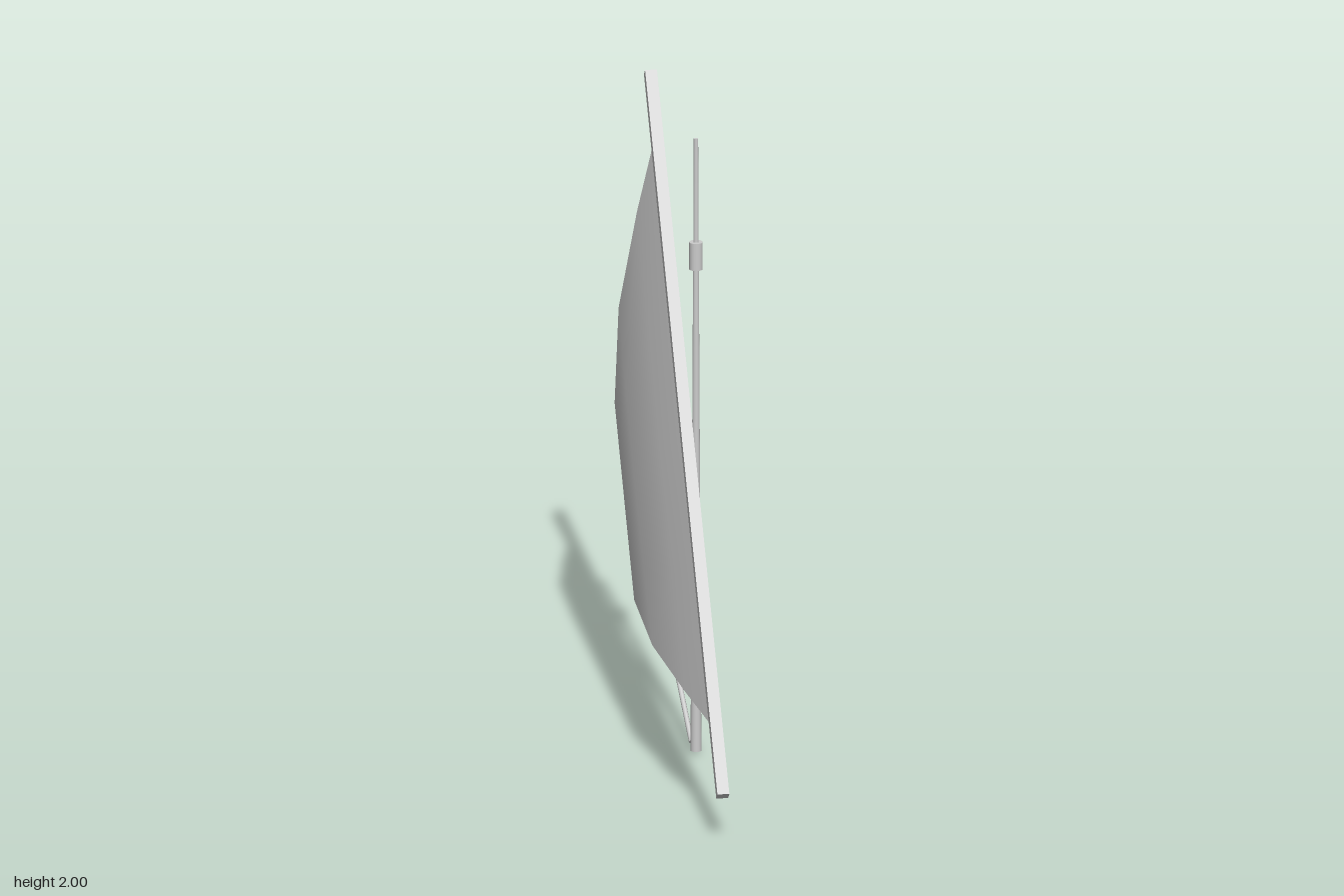
import * as THREE from 'three';

const V = (x, y, z) => new THREE.Vector3(x, y, z);

export function createModel() {
  const model = new THREE.Group();
  const grey = new THREE.MeshStandardMaterial({ color: 0xcccccc });
  const cloth = new THREE.MeshStandardMaterial({ color: 0xcccccc, side: THREE.DoubleSide });

  function add(name, geometry, material = grey) {
    const mesh = new THREE.Mesh(geometry, material);
    mesh.name = name;
    model.add(mesh);
    return mesh;
  }

  // Places a y-aligned mesh between two points
  function span(mesh, a, b) {
    mesh.position.copy(a).lerp(b, 0.5);
    mesh.quaternion.setFromUnitVectors(V(0, 1, 0), b.clone().sub(a).normalize());
  }

  // Upright pole, tapering from rBottom to rTop
  function pole(name, y0, y1, rBottom, rTop) {
    const mesh = add(name, new THREE.CylinderGeometry(rTop, rBottom, y1 - y0, 16));
    mesh.position.set(0.07, (y0 + y1) / 2, -0.082);
  }
  pole('lowerMast', 0.012, 1.6, 0.017, 0.009);
  pole('mastCollar', 1.576, 1.664, 0.021, 0.021);
  pole('topMast', 1.64, 2, 0.008, 0.007);

  // Slanting square yard
  const yardLow = V(0.029, 0.153, 0.777), yardHigh = V(0.029, 1.986, -0.776);
  const yard = add('yard', new THREE.BoxGeometry(0.037, yardLow.distanceTo(yardHigh), 0.034));
  span(yard, yardLow, yardHigh);

  // Sheet rope from the clew down to the deck
  const clew = V(0.022, 0.49, -0.757), ropeEnd = V(0.07, 0.007, -0.181);
  const rope = add('sheetRope', new THREE.CylinderGeometry(0.008, 0.008, clew.distanceTo(ropeEnd), 8));
  span(rope, ropeEnd, clew);

  // Triangular sail: rows parallel to the yard, running from foot to rear edge and shrinking to the clew
  const tack = V(0.022, 0.322, 0.615), peak = V(0.022, 1.81, -0.647);
  const rows = [ // distance towards the clew, x depth, foot lift, rear edge hollow
    [0, 0.022, 0, 0],
    [0.18, -0.029, 0.006, 0.002],
    [0.42, -0.083, 0.008, 0.007],
    [0.66, -0.092, 0.006, 0.01],
    [1, 0.022, 0, 0],
  ];
  const cols = 5, points = [], index = [];
  rows.forEach(([t, depth, lift, hollow], j) => {
    const foot = tack.clone().lerp(clew, t), rear = peak.clone().lerp(clew, t);
    foot.y += lift;
    rear.z += hollow;
    for (let i = 0; i < cols; i++) {
      const s = i / (cols - 1), p = foot.clone().lerp(rear, s);
      const dome = 0.02 * s * (1 - s) * Math.sin(Math.PI * t);
      points.push(depth - dome * (j === 3 ? 0 : 1), p.y, p.z);
      if (j === rows.length - 1 || i === cols - 1) continue;
      const a = j * cols + i, b = a + 1, c = a + cols, d = c + 1;
      index.push(a, c, b);
      if (j < rows.length - 2) index.push(b, c, d);
    }
  });
  const sail = new THREE.BufferGeometry();
  sail.setAttribute('position', new THREE.Float32BufferAttribute(points, 3));
  sail.setIndex(index);
  sail.computeVertexNormals();
  add('sail', sail, cloth);

  return model;
}
